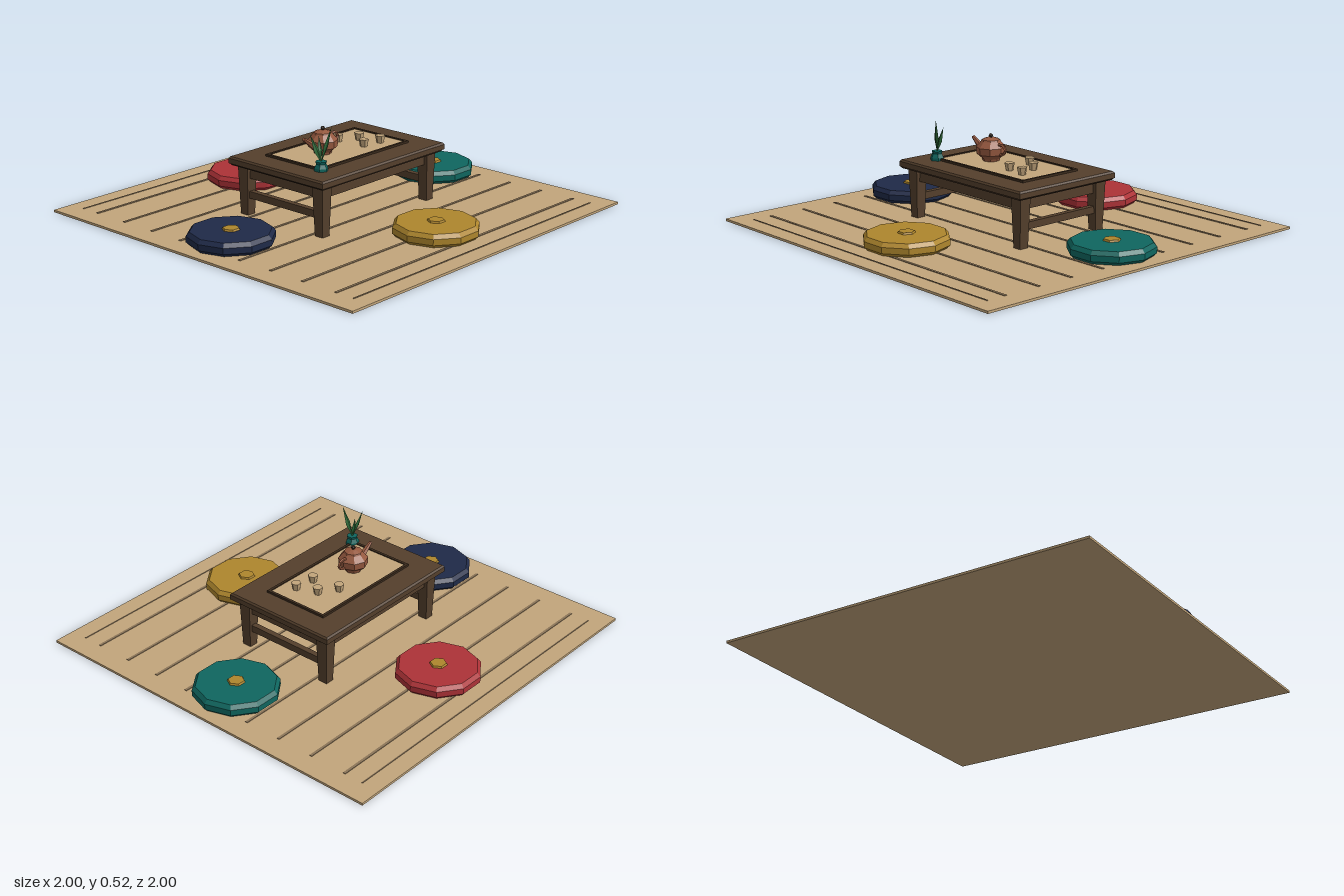
import * as THREE from 'three';

const mat = (name, color, extra = {}) => {
  const m = new THREE.MeshStandardMaterial({ color, flatShading: true, ...extra });
  m.name = name;
  return m;
};

export function createModel() {
  const tan = mat('straw', 0xc2a57b), seam = mat('straw seam', 0x8b7558);
  const wood = mat('walnut', 0x543f2c), dark = mat('dark walnut', 0x3a2a1c);
  const navy = mat('navy cloth', 0x1f2a48), red = mat('red cloth', 0xad3237);
  const teal = mat('teal', 0x0f665f), gold = mat('gold cloth', 0xae862d);
  const clay = mat('clay', 0x96593f);
  const green = mat('leaf green', 0x2f6b3a, { side: THREE.DoubleSide });

  const model = new THREE.Group();
  const add = (parent, name, geo, material, x = 0, y = 0, z = 0) => {
    const mesh = new THREE.Mesh(geo, material);
    mesh.name = name;
    mesh.position.set(x, y, z);
    parent.add(mesh);
    return mesh;
  };
  const group = (name, x = 0, y = 0, z = 0) => {
    const g = new THREE.Group();
    g.name = name;
    g.position.set(x, y, z);
    model.add(g);
    return g;
  };
  const box = (w, h, d) => new THREE.BoxGeometry(w, h, d);
  const lathe = (pts, sides) =>
    new THREE.LatheGeometry(pts.map(([r, y]) => new THREE.Vector2(r, y)), sides);

  // Box whose lower end is scaled, for tapered and bevelled shapes
  const taperedBox = (w, h, d, sx, sz) => {
    const geo = box(w, h, d), p = geo.attributes.position;
    for (let i = 0; i < p.count; i++) {
      if (p.getY(i) < 0) p.setXYZ(i, p.getX(i) * sx, p.getY(i), p.getZ(i) * sz);
    }
    return geo;
  };

  // Floor mat with woven seams
  const floor = group('floorMat');
  add(floor, 'mat', box(2, 0.012, 2), tan, 0, 0.006, 0);
  for (let i = -4; i <= 4; i++) {
    add(floor, 'matSeam', box(1.78, 0.004, 0.014), seam, 0, 0.013, i * 0.2);
  }
  for (const s of [-1, 1]) add(floor, 'matEdgeSeam', box(1.78, 0.004, 0.006), seam, 0, 0.013, s * 0.905);

  // Floor cushions with a centre button
  const cushions = [
    [-0.745, 0, navy], [0.745, 0, teal], [0, -0.635, red], [0, 0.635, gold],
  ];
  for (const [x, z, cloth] of cushions) {
    const c = group('cushion', x, 0.014, z);
    c.rotation.y = Math.PI / 2;
    add(c, 'cushionPad', lathe(
      [[0, 0], [0.198, 0], [0.215, 0.016], [0.215, 0.046], [0.198, 0.066], [0, 0.066]], 10), cloth);
    add(c, 'cushionButton', new THREE.CylinderGeometry(0.04, 0.045, 0.01, 6), gold, 0, 0.07, 0);
  }

  // Low table
  const table = group('table');
  add(table, 'tableTop', box(0.9, 0.026, 0.63), wood, 0, 0.286, 0);
  add(table, 'topBevel', taperedBox(0.9, 0.01, 0.63, 1.02, 1.02).rotateX(Math.PI), dark, 0, 0.268, 0)
    .scale.set(0.975, 1, 0.965);
  add(table, 'topUpperBevel', taperedBox(0.885, 0.009, 0.615, 1.016, 1.024), wood, 0, 0.3035, 0);
  for (const s of [-1, 1]) {
    add(table, 'longApron', box(0.72, 0.066, 0.025), wood, 0, 0.235, s * 0.25);
    add(table, 'shortApron', box(0.025, 0.066, 0.46), wood, s * 0.385, 0.235, 0);
    add(table, 'stretcher', box(0.03, 0.036, 0.46), wood, s * 0.385, 0.118, 0);
    for (const t of [-1, 1]) {
      add(table, 'leg', taperedBox(0.066, 0.255, 0.066, 0.72, 0.75), wood, s * 0.385, 0.14, t * 0.25);
    }
  }

  // Framed runner on the table
  add(table, 'runner', box(0.63, 0.006, 0.34), tan, 0, 0.311, 0);
  for (const s of [-1, 1]) {
    add(table, 'runnerLongEdge', box(0.65, 0.011, 0.014), dark, 0, 0.3135, s * 0.175);
    add(table, 'runnerShortEdge', box(0.014, 0.011, 0.336), dark, s * 0.318, 0.3135, 0);
  }

  // Teapot
  const pot = group('teapot', -0.11, 0.314, 0);
  add(pot, 'potBody', lathe(
    [[0, 0], [0.042, 0], [0.046, 0.012], [0.073, 0.035], [0.075, 0.07], [0.048, 0.1], [0, 0.1]], 8), clay);
  add(pot, 'potLid', lathe([[0.05, 0.1], [0.046, 0.108], [0.018, 0.118], [0, 0.118]], 8), clay);
  add(pot, 'lidKnob', new THREE.IcosahedronGeometry(0.012, 0), dark, 0, 0.127, 0);
  const spout = add(pot, 'spout', new THREE.CylinderGeometry(0.009, 0.02, 0.1, 6), clay, -0.095, 0.07, 0);
  spout.rotation.z = 0.95;
  const handlePath = new THREE.CatmullRomCurve3([
    [0.06, 0.088], [0.092, 0.088], [0.108, 0.066], [0.092, 0.044], [0.06, 0.038],
  ].map(([x, y]) => new THREE.Vector3(x, y, 0)));
  add(pot, 'handle', new THREE.TubeGeometry(handlePath, 6, 0.008, 5), clay);

  // Cups
  for (const [x, z] of [[0.09, -0.08], [0.18, -0.02], [0.11, 0.073], [0.217, 0.088]]) {
    add(model, 'cup', new THREE.CylinderGeometry(0.026, 0.018, 0.038, 6), tan, x, 0.333, z)
      .rotation.y = Math.PI / 2;
  }

  // Vase with pointed leaves
  const plant = group('plant', -0.315, 0.308, 0.18);
  add(plant, 'vase', lathe(
    [[0, 0], [0.035, 0], [0.035, 0.014], [0.025, 0.034], [0.029, 0.047], [0, 0.047]], 6), teal);
  for (const [x, y, z] of [[0.035, 0.215, 0.035], [-0.045, 0.182, -0.03], [0.015, 0.165, -0.03]]) {
    const base = new THREE.Vector3(0, 0.04, 0);
    const dir = new THREE.Vector3(x, y, z).sub(base);
    const blade = lathe([[0, 0], [0.016, 0.45 * dir.length()], [0, dir.length()]], 4);
    const leaf = add(plant, 'leaf', blade.scale(1, 1, 0.4), green, 0, 0.04, 0);
    leaf.quaternion.setFromUnitVectors(new THREE.Vector3(0, 1, 0), dir.normalize());
  }
  return model;
}
